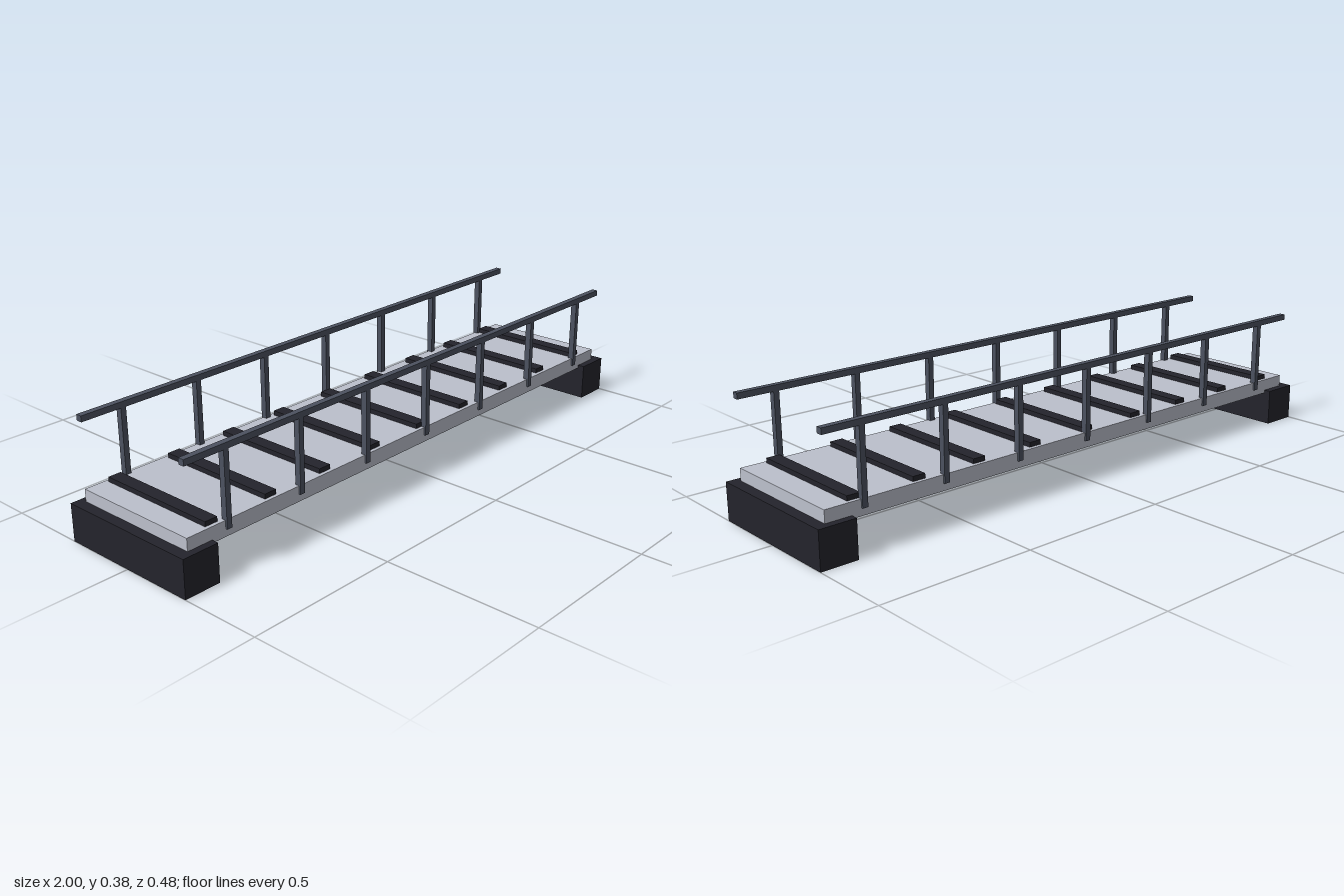
import * as THREE from 'three';

const mat = (color) => new THREE.MeshStandardMaterial({ color });

export function createModel() {
  const group = new THREE.Group();
  const deckMat = mat(0xbcc0cc), railMat = mat(0x4c5260), darkMat = mat(0x24242c);

  // Box given by its centre in x and z, its bottom and its top
  const addBox = (name, material, x, z, y0, y1, width, depth) => {
    const mesh = new THREE.Mesh(new THREE.BoxGeometry(width, y1 - y0, depth), material);
    mesh.position.set(x, (y0 + y1) / 2, z);
    mesh.name = name;
    group.add(mesh);
  };

  // Walkway
  addBox('deck', deckMat, 0, 0, 0.11, 0.159, 1.93, 0.434);

  // Support blocks under both ends
  for (const side of [-1, 1]) addBox('endBlock', darkMat, side * 0.94, 0, 0, 0.12, 0.12, 0.48);

  // Tread cleats across the deck
  for (let i = 0; i < 9; i++) {
    addBox('cleat', darkMat, -0.87 + i * 0.2168, 0, 0.155, 0.174, 0.043, 0.41);
  }

  // Handrails with their posts
  for (const side of [-1, 1]) {
    const z = side * 0.213;
    addBox('handrail', railMat, 0, z, 0.365, 0.384, 1.93, 0.02);
    for (let i = 0; i < 7; i++) {
      addBox('post', railMat, -0.822 + i * 0.277, z, 0.133, 0.367, 0.018, 0.02);
    }
  }

  return group;
}
